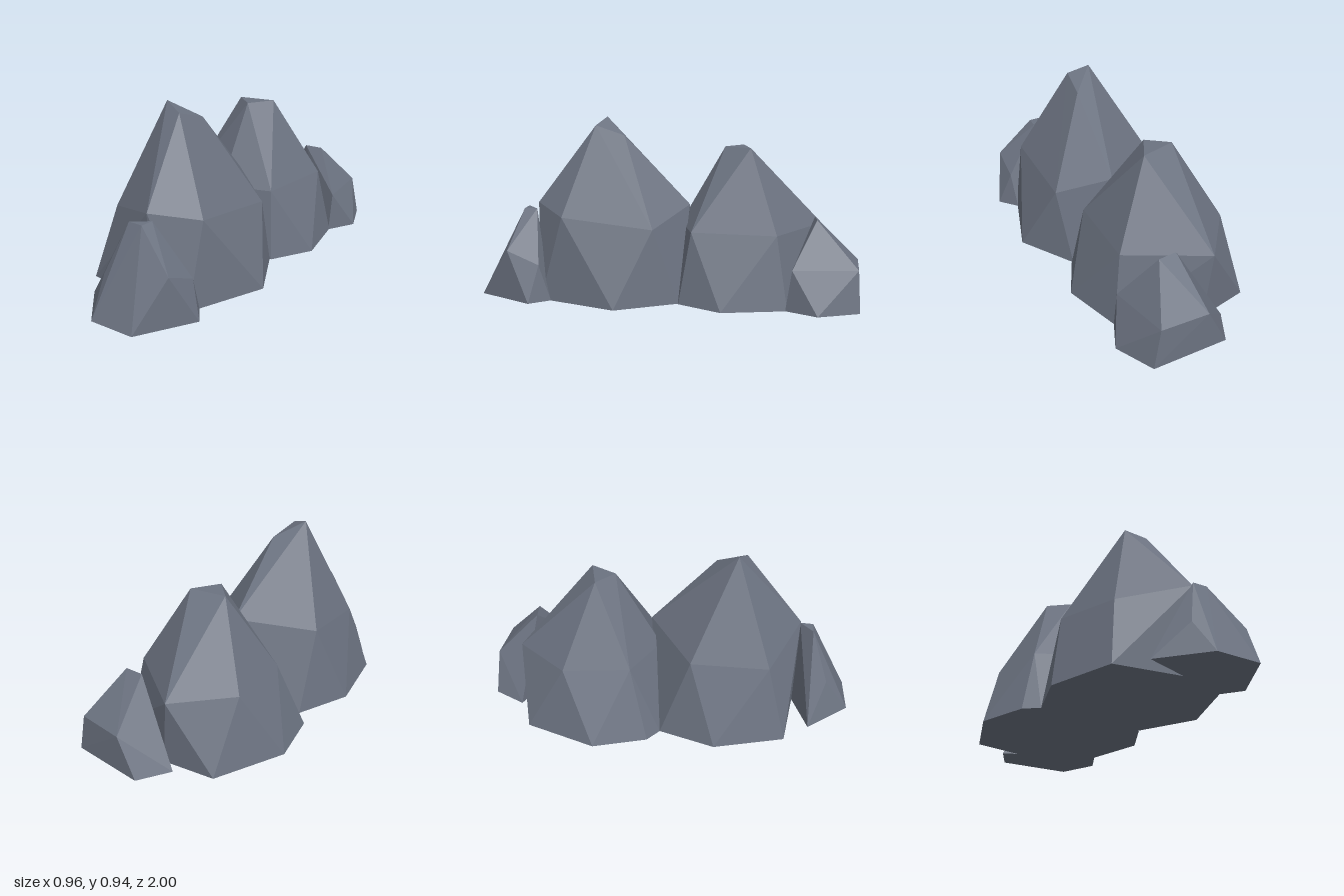
import * as THREE from 'three';
import { ConvexGeometry } from 'three/addons/geometries/ConvexGeometry.js';

const slate = new THREE.MeshStandardMaterial({ color: 0x6b7280 });
slate.name = 'slateGrey';

// A faceted boulder: the hull around level cross-sections, each given as (height, [x, z] corners)
function boulder(name, ...sections) {
  const points = sections.flatMap(([y, ...corners]) =>
    corners.map(([x, z]) => new THREE.Vector3(x, y, z)));
  const mesh = new THREE.Mesh(new ConvexGeometry(points), slate);
  mesh.name = name;
  return mesh;
}

export function createModel() {
  const group = new THREE.Group();
  group.name = 'rockRidge';

  // Tall peak: ground outline, uneven shoulders, sloping crest
  group.add(boulder('frontPeak',
    [0, [-0.30, 0.65], [0.13, 0.70], [0.33, 0.65], [0.48, 0.23], [0.31, -0.08], [-0.31, -0.02], [-0.41, 0.28]],
    [0.39, [-0.22, 0.55], [0.34, 0.05]],
    [0.44, [0.33, 0.53], [-0.29, 0.14]],
    [0.485, [0.13, 0.71], [0.08, -0.11]],
    [0.85, [0.10, 0.24]],
    [0.90, [0.08, 0.40]],
    [0.94, [-0.03, 0.36]]));

  // Second peak with one ring of shoulders
  group.add(boulder('backPeak',
    [0, [-0.31, -0.02], [0.32, -0.08], [0.44, -0.31], [0.36, -0.64], [-0.06, -0.80], [-0.34, -0.74], [-0.48, -0.36], [-0.39, -0.08]],
    [0.37, [0, -0.05], [0.27, -0.14], [0.30, -0.58], [-0.10, -0.81], [-0.33, -0.53], [-0.28, -0.18]],
    [0.79, [-0.11, -0.38], [0, -0.29], [0.08, -0.43]]));

  // Small boulders at both ends
  group.add(boulder('frontBoulder',
    [0, [0.02, 1], [0.27, 0.99], [0.43, 0.69], [0.35, 0.59], [-0.18, 0.78]],
    [0.19, [-0.01, 0.87], [0.36, 0.65]],
    [0.26, [0.355, 0.82]],
    [0.455, [0.08, 0.78], [0.165, 0.71], [0.16, 0.78]]));

  group.add(boulder('backBoulder',
    [0, [-0.06, -1], [0.35, -1], [0.44, -0.79], [0.36, -0.63], [-0.15, -0.83]],
    [0.21, [0.05, -1], [0.31, -0.99], [0.36, -0.66]],
    [0.44, [0.10, -0.77], [0.20, -0.78]]));

  return group;
}
